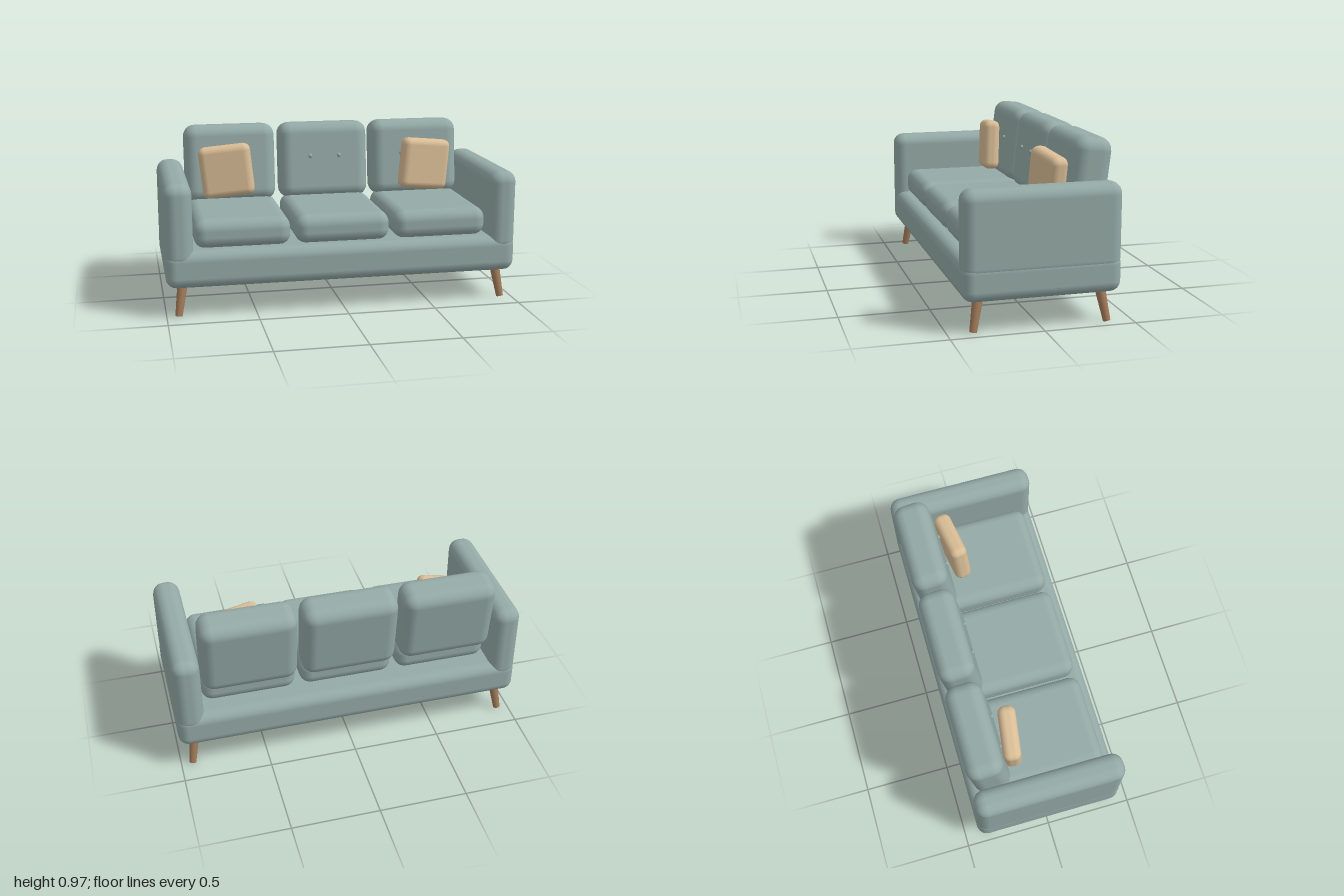
import * as THREE from 'three';
import { RoundedBoxGeometry } from 'three/addons/geometries/RoundedBoxGeometry.js';

export function createModel() {
  const sofa = new THREE.Group();
  sofa.name = 'sofa';

  const material = (name, hex) => {
    const m = new THREE.MeshStandardMaterial({ color: hex });
    m.name = name;
    return m;
  };
  const fabric = material('sage fabric', 0x94aaa7);
  const beige = material('beige fabric', 0xd9bd96);
  const wood = material('wood', 0xa47c5b);

  const add = (parent, name, geometry, mat, x, y, z) => {
    const mesh = new THREE.Mesh(geometry, mat);
    mesh.name = name;
    mesh.position.set(x, y, z);
    parent.add(mesh);
    return mesh;
  };
  const softBox = (w, h, d, r) => new RoundedBoxGeometry(w, h, d, 3, r);

  // Base frame
  add(sofa, 'base', softBox(2, 0.21, 0.855, 0.06), fabric, 0, 0.275, 0.002);

  // Seat cushions, tilted back cushions and their buttons
  const seatGeo = softBox(0.54, 0.165, 0.68, 0.065);
  const backGeo = softBox(0.54, 0.46, 0.21, 0.07);
  const buttonGeo = new THREE.SphereGeometry(0.013, 12, 8);
  for (const x of [-0.567, 0, 0.567]) {
    add(sofa, 'seatCushion', seatGeo, fabric, x, 0.455, 0.03);
    const back = new THREE.Group();
    back.name = 'backCushion';
    back.position.set(x, 0.735, -0.303);
    back.rotation.x = -0.12;
    sofa.add(back);
    add(back, 'backCushionBody', backGeo, fabric, 0, 0, 0);
    for (const s of [-1, 1]) add(back, 'button', buttonGeo, fabric, s * 0.088, 0.026, 0.107);
  }

  const armGeo = softBox(0.155, 0.47, 0.855, 0.065);
  const pillowGeo = softBox(0.305, 0.305, 0.1, 0.04);
  const legGeo = new THREE.CylinderGeometry(0.03, 0.02, 0.21, 16);
  for (const s of [-1, 1]) {
    // Armrests
    add(sofa, 'armrest', armGeo, fabric, s * 0.9225, 0.52, 0.002);

    // Throw pillows, turned towards the middle
    const pillow = add(sofa, 'throwPillow', pillowGeo, beige, s * 0.602, 0.715, -0.132);
    pillow.rotation.set(-0.04, s * 0.15, s * -0.11, 'YXZ');

    // Splayed tapered legs
    for (const f of [-1, 1]) {
      const foot = new THREE.Vector3(s * 0.934, 0.004, 0.002 + f * 0.364);
      const top = new THREE.Vector3(s * 0.902, 0.21, 0.002 + f * 0.326);
      const mid = foot.clone().lerp(top, 0.5);
      const leg = add(sofa, 'leg', legGeo, wood, mid.x, mid.y, mid.z);
      leg.quaternion.setFromUnitVectors(new THREE.Vector3(0, 1, 0), top.sub(foot).normalize());
    }
  }
  return sofa;
}
